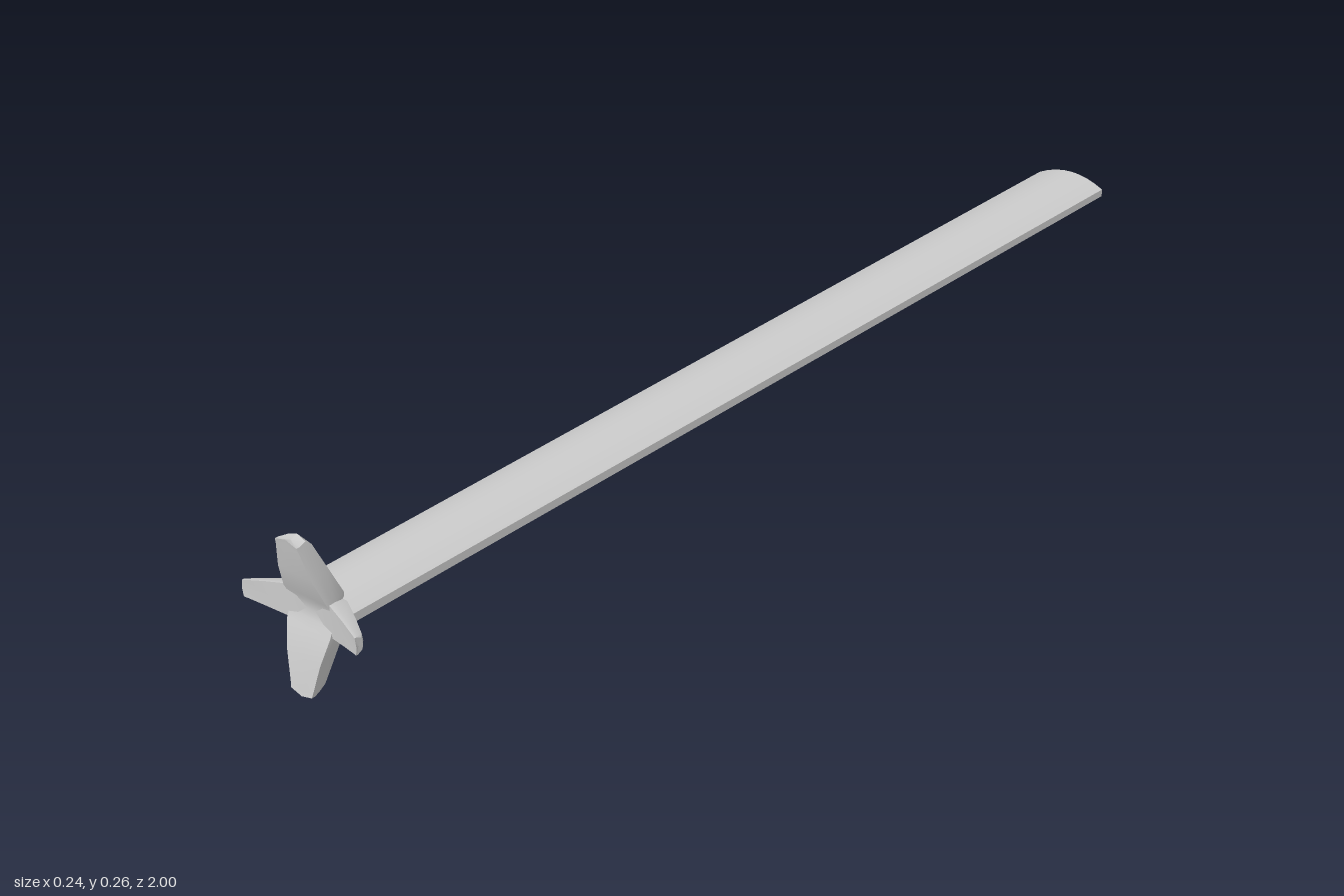
import * as THREE from 'three';
import { toCreasedNormals } from 'three/addons/utils/BufferGeometryUtils.js';

const CENTER_Y = 0.129;

// Closed skin over rings that run counter-clockwise seen from the loft's end
function loft(rings, crease) {
  const n = rings[0].length;
  const position = rings.flat(2);
  const index = [];
  for (let i = 0; i < rings.length - 1; i++) {
    for (let j = 0; j < n; j++) {
      const k = (j + 1) % n;
      const a = i * n + j, b = i * n + k, c = b + n, d = a + n;
      index.push(a, b, c, a, c, d);
    }
  }
  // End caps, fanned around each ring's middle
  [0, rings.length - 1].forEach((r, end) => {
    const middle = position.length / 3;
    for (let axis = 0; axis < 3; axis++) {
      position.push(rings[r].reduce((sum, p) => sum + p[axis], 0) / n);
    }
    for (let j = 0; j < n; j++) {
      const a = r * n + j, b = r * n + (j + 1) % n;
      index.push(middle, end ? a : b, end ? b : a);
    }
  });
  const geometry = new THREE.BufferGeometry();
  geometry.setAttribute('position', new THREE.Float32BufferAttribute(position, 3));
  geometry.setIndex(index);
  return toCreasedNormals(geometry, crease);
}

// Lens-shaped section with small blunt edges
function shaftRing(z, halfWidth) {
  const ring = [];
  const steps = 8;
  for (const side of [1, -1]) {
    for (let i = 0; i <= steps; i++) {
      const t = 1 - (2 * i) / steps;
      ring.push([side * t * halfWidth, side * (0.007 + 0.019 * (1 - t * t)), z]);
    }
  }
  return ring;
}

// Bar along y with tapered, forward-swept ends.
// Each station: distance from the middle, half width, front z, back z, back width ratio, tip bulge
function crossBar(stations) {
  const mirrored = stations.slice(1).reverse().map(([r, ...rest]) => [-r, ...rest]);
  const rings = [...mirrored, ...stations].map(([r, w, front, back, ratio, bulge]) => {
    const mid = r + Math.sign(r) * bulge;
    const side = front - (front - back) * 0.3;
    return [
      [0, mid, front], [w, r, front], [w, r, side], [w * ratio, r, back],
      [0, mid, back], [-w * ratio, r, back], [-w, r, side], [-w, r, front],
    ];
  });
  return loft(rings, 0.5);
}

export function createModel() {
  const group = new THREE.Group();
  const material = new THREE.MeshStandardMaterial({ color: 0xcccccc });

  const add = (name, geometry) => {
    const mesh = new THREE.Mesh(geometry, material);
    mesh.name = name;
    mesh.position.y = CENTER_Y;
    group.add(mesh);
    return mesh;
  };

  // Long shaft, slightly narrower toward the front
  add('shaft', loft([shaftRing(-1, 0.072), shaftRing(0.955, 0.062)], 0.5));

  // Upright arms of the cross
  add('verticalArms', crossBar([
    [0, 0.045, 0.968, 0.935, 0.75, 0],
    [0.014, 0.045, 0.97, 0.935, 0.75, 0],
    [0.027, 0.045, 0.976, 0.935, 0.75, 0],
    [0.07, 0.0345, 0.99, 0.952, 0.75, 0],
    [0.115, 0.0237, 0.998, 0.97, 0.75, 0.003],
    [0.123, 0.022, 1, 0.979, 0.75, 0.006],
  ]));

  // Sideways arms of the cross
  const sideArms = add('sideArms', crossBar([
    [0, 0.027, 0.967, 0.94, 0.7, 0],
    [0.045, 0.027, 0.972, 0.94, 0.7, 0],
    [0.08, 0.021, 0.981, 0.957, 0.7, 0],
    [0.111, 0.015, 0.99, 0.974, 0.7, 0.002],
    [0.117, 0.014, 0.992, 0.98, 0.7, 0.002],
  ]));
  sideArms.rotation.z = Math.PI / 2;

  return group;
}
